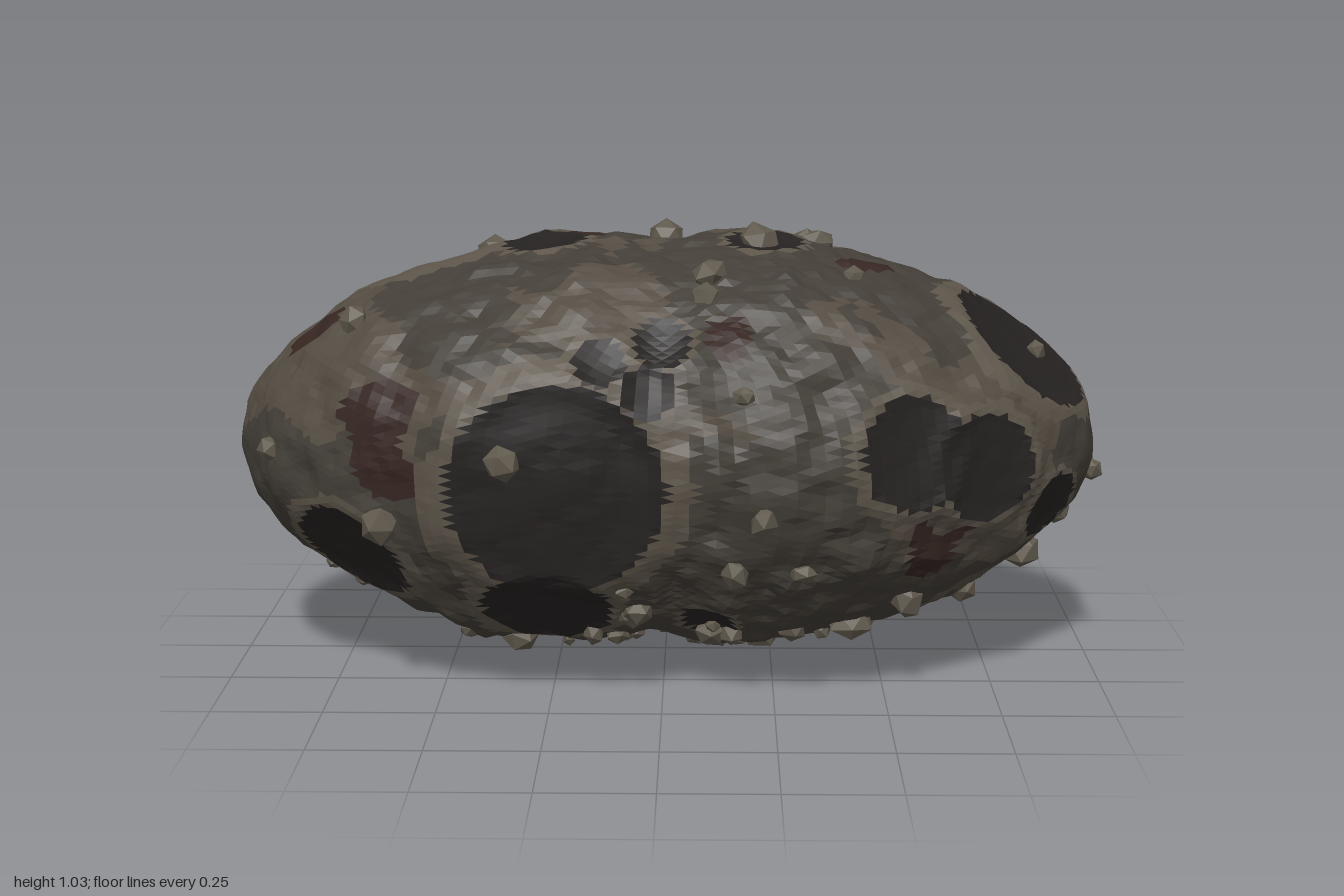
import * as THREE from 'three';
import { mergeGeometries } from 'three/addons/utils/BufferGeometryUtils.js';

const RADII = new THREE.Vector3(1, 0.495, 0.6);
const CENTRE_Y = 0.52;

// Craters: x, y, z relative to the body's centre, then radius
const CRATERS = [
  [0.72, -0.02, -0.37, 0.35], [-0.22, -0.02, 0.56, 0.245], [-0.5, 0.4, -0.17, 0.235],
  [0.83, 0.26, 0.1, 0.19], [0.13, 0.4, -0.29, 0.155], [0.54, 0.06, 0.48, 0.13],
  [0.7, 0.01, 0.4, 0.125], [-0.7, -0.22, 0.33, 0.145], [-0.25, -0.32, 0.41, 0.15],
  [0.87, -0.12, 0.24, 0.085], [-0.03, 0.2, 0.53, 0.06], [0, 0.3, 0.45, 0.065],
  [-0.13, 0.26, 0.48, 0.06], [0.1, -0.36, 0.38, 0.065], [0.22, 0.46, 0.05, 0.09],
  [-0.27, 0.46, 0.03, 0.095], [0.27, 0.45, -0.08, 0.065], [-0.42, 0.2, -0.47, 0.08],
  [-0.16, 0.23, -0.5, 0.06], [0.19, -0.12, -0.53, 0.085], [-0.75, -0.26, -0.23, 0.12],
  [-0.19, -0.34, -0.4, 0.06], [0.07, -0.46, -0.2, 0.055], [0.4, -0.43, 0.05, 0.08],
];

// Rusty stains: same layout
const STAINS = [
  [-0.64, 0.1, 0.43, 0.11], [-0.6, 0.02, 0.46, 0.08], [0.14, 0.31, 0.43, 0.08],
  [0.6, -0.17, 0.42, 0.09], [-0.77, 0.28, 0.12, 0.07], [-0.2, 0.41, -0.28, 0.06],
  [-0.18, 0.46, -0.12, 0.05], [0.43, 0.42, 0.1, 0.06], [-0.71, 0.06, -0.4, 0.1],
  [-0.9, -0.08, -0.05, 0.12], [-0.4, -0.32, -0.36, 0.09], [-0.12, 0.1, -0.53, 0.07],
];

// Boulders at chosen spots: same layout, radius is the stone's size
const STONES = [
  [-0.31, 0.04, 0.5, 0.045], [-0.6, -0.11, 0.44, 0.045], [-0.87, 0.02, 0.27, 0.03],
  [0.17, 0.19, 0.52, 0.025], [-0.46, -0.42, 0.05, 0.05], [0.97, -0.06, 0.09, 0.03],
  [0.88, 0.24, 0.05, 0.03], [-0.4, 0.44, -0.08, 0.05], [-0.17, 0.36, -0.38, 0.055],
  [0.33, 0.44, -0.17, 0.04], [0, 0.47, -0.08, 0.045], [0.43, 0.42, 0.2, 0.03],
  [-0.68, 0.3, 0.22, 0.04], [0.22, -0.47, 0, 0.05], [0.21, 0.46, 0.03, 0.05],
  [0.27, 0.35, -0.38, 0.045], [-0.27, 0.36, -0.36, 0.035], [0.1, 0.42, 0.27, 0.05],
  [0.68, -0.28, -0.2, 0.03], [0.3, 0.25, -0.48, 0.05], [0.36, 0.47, -0.02, 0.04],
  [0.09, 0.38, 0.34, 0.04], [0.15, -0.2, 0.5, 0.035], [0.3, -0.2, 0.5, 0.03],
];

let seed = 7;
const random = () => {
  seed = (seed * 16807) % 2147483647;
  return seed / 2147483647;
};

// Smooth value noise in -1..1
const hash = (i, j, k) => {
  const s = Math.sin(i * 127.1 + j * 311.7 + k * 74.7) * 43758.5453;
  return (s - Math.floor(s)) * 2 - 1;
};
function noise(p, frequency) {
  const [x, y, z] = [p.x, p.y, p.z].map((v) => v * frequency + 50.37);
  const [i, j, k] = [x, y, z].map(Math.floor);
  const [u, v, w] = [x - i, y - j, z - k].map((t) => t * t * (3 - 2 * t));
  const mix = THREE.MathUtils.lerp;
  const row = (b, c) => mix(hash(i, b, c), hash(i + 1, b, c), u);
  return mix(mix(row(j, k), row(j + 1, k), v), mix(row(j, k + 1), row(j + 1, k + 1), v), w);
}

// Two-lobed body with a shallow waist and slightly tapered ends
function bodyPoint(dir) {
  const p = dir.clone().multiply(RADII);
  const waist = Math.exp(-((p.x / 0.17) ** 2));
  const taper = 1 - 0.06 * p.x ** 2;
  p.y *= taper - 0.07 * waist;
  p.z *= taper - 0.13 * waist;
  return p;
}
const toDirection = ([x, y, z]) => new THREE.Vector3(x, y, z).divide(RADII).normalize();
const place = (list) => list.map((e) => {
  const dir = toDirection(e);
  return { centre: bodyPoint(dir), normal: dir.divide(RADII).normalize(), r: e[3] };
});
const craters = place(CRATERS);
const stains = place(STAINS);

// Body with bumps, crater bowls and raised rims
function surfacePoint(dir) {
  const base = bodyPoint(dir);
  const p = base.clone();
  const normal = dir.clone().divide(RADII).normalize();
  let rough = 1;
  for (const { centre, normal: axis, r } of craters) {
    const d = base.distanceTo(centre) / r;
    if (d > 1.5) continue;
    rough = Math.min(rough, d < 1 ? 0.25 : 0.25 + (d - 1) * 1.5);
    if (d < 1) p.addScaledVector(axis, -0.18 * r * (1 - d * d));
    p.addScaledVector(axis, 0.035 * r * Math.exp(-(((d - 1.08) / 0.18) ** 2)));
  }
  const bumps = 0.016 * noise(base, 6) + 0.014 * noise(base, 13) + 0.009 * noise(base, 28);
  return p.addScaledVector(normal, bumps * rough * (1 - 0.6 * Math.abs(dir.x) ** 3));
}

// Which kind of ground covers a spot
function groundAt(base) {
  const wobble = noise(base, 9);
  const ragged = 0.7 * wobble + 0.6 * noise(base, 19);
  let ring = false;
  for (const { centre, r } of craters) {
    const d = base.distanceTo(centre) / r;
    if (d < 1) return 'craterFloor';
    if (d < 1.25 + 0.12 * ragged) ring = true;
  }
  for (const { centre, r } of stains) {
    if (base.distanceTo(centre) < r * (0.9 + 0.6 * ragged)) return 'rustStain';
  }
  if (ring) return 'craterRim';
  return noise(base, 4.5) + 0.5 * ragged > 0.25 ? 'dustPatch' : 'rock';
}

const COLORS = {
  rock: 0x433e37, craterFloor: 0x252221, craterRim: 0x5c5449, dustPatch: 0x544c42, rustStain: 0x362622,
};

function addGround(group) {
  const source = new THREE.IcosahedronGeometry(1, 32).attributes.position;
  const faces = Object.fromEntries(Object.keys(COLORS).map((name) => [name, []]));
  for (let i = 0; i < source.count; i += 3) {
    const corners = [0, 1, 2].map((k) => new THREE.Vector3().fromBufferAttribute(source, i + k));
    const middle = corners[0].clone().add(corners[1]).add(corners[2]).normalize();
    const target = faces[groundAt(bodyPoint(middle))];
    for (const c of corners) target.push(...surfacePoint(c.normalize()).toArray());
  }
  for (const [name, points] of Object.entries(faces)) {
    const geometry = new THREE.BufferGeometry();
    geometry.setAttribute('position', new THREE.Float32BufferAttribute(points, 3));
    geometry.computeVertexNormals();
    const mesh = new THREE.Mesh(geometry, new THREE.MeshStandardMaterial({ color: COLORS[name], flatShading: true }));
    mesh.name = name;
    group.add(mesh);
  }
}

// One faceted stone, half sunk in the ground
function stone(dir, size) {
  const geometry = new THREE.IcosahedronGeometry(size, 0);
  geometry.scale(0.85 + 0.4 * random(), 0.7 + 0.3 * random(), 0.85 + 0.3 * random());
  geometry.rotateX(random() * 6).rotateY(random() * 6);
  const p = surfacePoint(dir);
  return geometry.translate(p.x, p.y, p.z);
}

function addBoulders(group) {
  const stones = STONES.map((e) => stone(toDirection(e), e[3]));
  // Scatter, thickest underneath, at the back and round the waist
  while (stones.length < 135) {
    const dir = new THREE.Vector3(random() * 2 - 1, random() * 2 - 1, random() * 2 - 1);
    if (dir.length() > 1) continue;
    dir.normalize();
    const density = 0.15 - 0.55 * dir.y - 0.2 * dir.z + 0.35 * Math.exp(-((dir.x / 0.25) ** 2)) - 0.25 * Math.abs(dir.x);
    const base = bodyPoint(dir);
    const inCrater = craters.some(({ centre, r }) => r > 0.1 && base.distanceTo(centre) < r);
    if (random() < density && !inCrater) stones.push(stone(dir, 0.02 + 0.028 * random() ** 1.5));
  }
  const mesh = new THREE.Mesh(
    mergeGeometries(stones),
    new THREE.MeshStandardMaterial({ color: 0x5f584c, flatShading: true }),
  );
  mesh.name = 'boulders';
  group.add(mesh);
}

export function createModel() {
  seed = 7;
  const group = new THREE.Group();
  group.name = 'asteroid';
  const body = new THREE.Group();
  body.name = 'asteroidBody';
  addGround(body);
  addBoulders(body);
  body.position.y = CENTRE_Y;
  // Rest the lowest stone on the ground
  body.position.y -= new THREE.Box3().setFromObject(body, true).min.y;
  group.add(body);
  return group;
}
